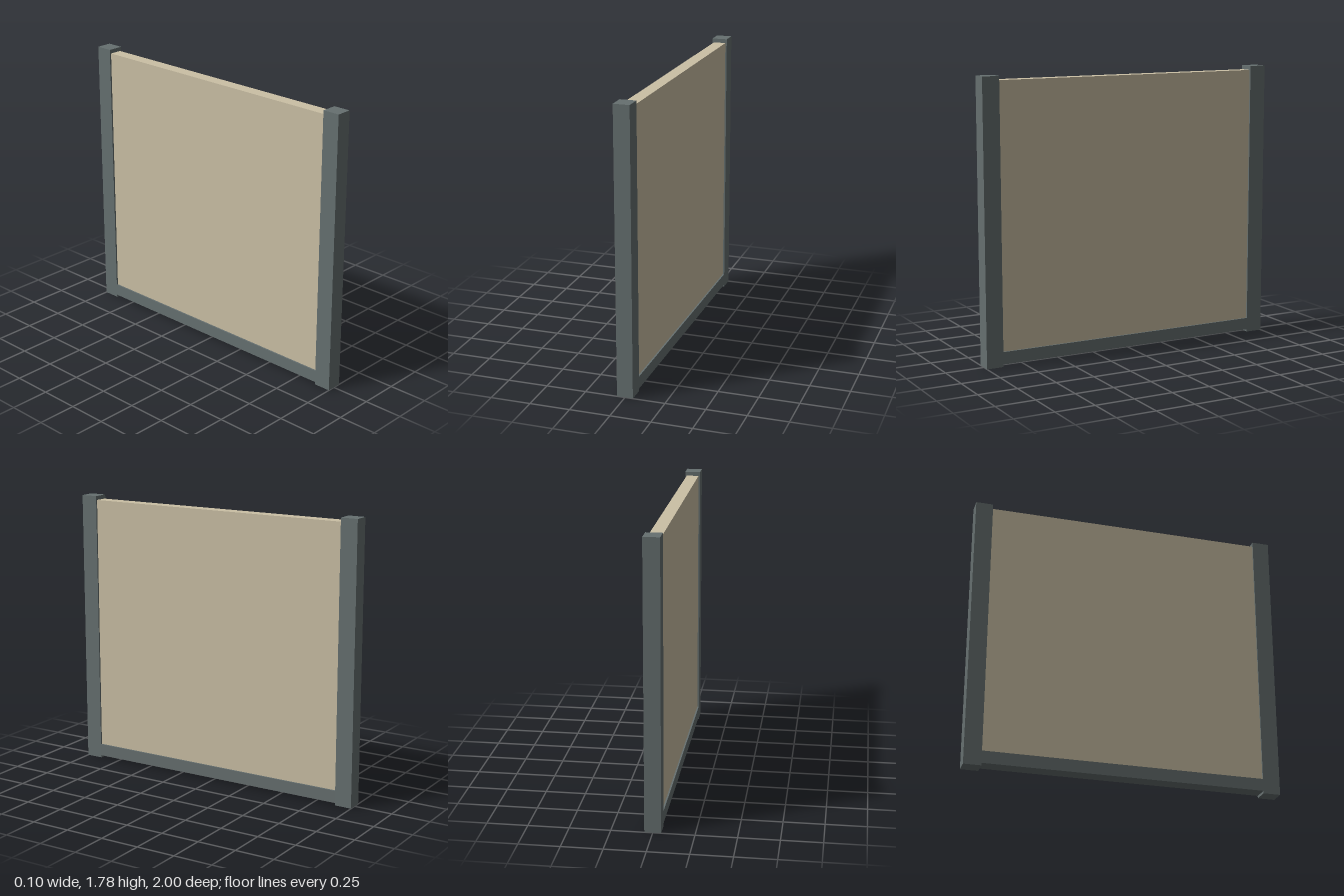
import * as THREE from 'three';

export function createModel() {
  const group = new THREE.Group();
  const frame = new THREE.MeshStandardMaterial({ color: 0x667070 });
  const infill = new THREE.MeshStandardMaterial({ color: 0xcbc0a5 });

  // Box given by its width, vertical range and depth range
  function addBox(name, material, width, y0, y1, z0, z1) {
    const mesh = new THREE.Mesh(new THREE.BoxGeometry(width, y1 - y0, z1 - z0), material);
    mesh.position.set(0, (y0 + y1) / 2, (z0 + z1) / 2);
    mesh.name = name;
    group.add(mesh);
  }

  const postInner = 0.89;

  // Upright posts at both ends
  addBox('frontPost', frame, 0.1, 0, 1.782, postInner, 1);
  addBox('backPost', frame, 0.1, 0, 1.782, -1, -postInner);

  // Bottom rail, raised slightly off the ground
  addBox('bottomRail', frame, 0.1, 0.016, 0.094, -postInner, postInner);

  // Panel set between the posts, slightly recessed
  addBox('panel', infill, 0.08, 0.094, 1.756, -postInner, postInner);

  return group;
}
